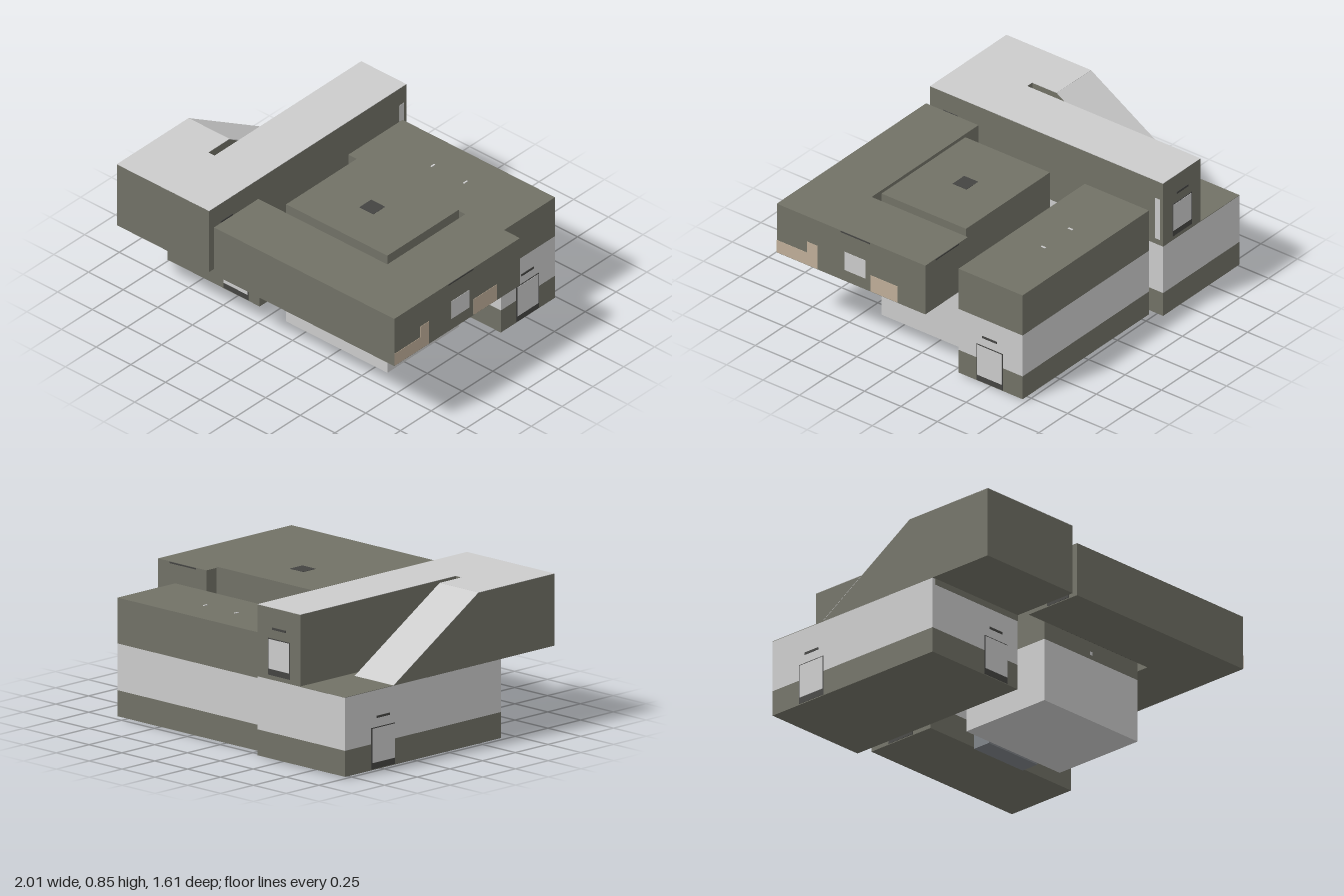
import * as THREE from 'three';

const mat = (color) => new THREE.MeshStandardMaterial({ color });
const grey = mat(0xcccccc), olive = mat(0x717166), pale = mat(0xe2e2e2);
const dark = mat(0x444442), tan = mat(0xbfae98), glass = mat(0x7d8186);

export function createModel() {
  const root = new THREE.Group();

  const add = (name, geo, m, parent = root) => {
    const mesh = new THREE.Mesh(geo, m);
    mesh.name = name;
    parent.add(mesh);
    return mesh;
  };
  // Box given by its limits on each axis
  const box = (name, m, x0, x1, y0, y1, z0, z1, parent) => {
    const b = add(name, new THREE.BoxGeometry(x1 - x0, y1 - y0, z1 - z0), m, parent);
    b.position.set((x0 + x1) / 2, (y0 + y1) / 2, (z0 + z1) / 2);
    return b;
  };
  // Thin plate on a wall at coordinate p along an axis, spanning u0..u1 sideways
  const plate = (name, m, axis, p, u0, u1, y0, y1, t = 0.002, parent = root) =>
    axis === 'x'
      ? box(name, m, p - t, p + t, y0, y1, u0, u1, parent)
      : box(name, m, u0, u1, y0, y1, p - t, p + t, parent);
  // Framed door or window with a slot vent above it
  const door = (name, axis, p, u, y0, y1, w = 0.17) => {
    const g = new THREE.Group();
    g.name = name;
    root.add(g);
    plate('frame', dark, axis, p, u - w / 2 - 0.005, u + w / 2 + 0.005, y0 - 0.035, y1 + 0.005, 0.003, g);
    plate('panel', grey, axis, p, u - w / 2, u + w / 2, y0, y1, 0.005, g);
    plate('vent', dark, axis, p, u - 0.05, u + 0.05, y1 + 0.055, y1 + 0.067, 0.004, g);
  };

  // Ground floors: dark base band, light wall band
  const ground = (name, x0, x1, z0, z1, top) => {
    const g = new THREE.Group();
    g.name = name;
    root.add(g);
    box('baseBand', olive, x0, x1, 0.01, 0.155, z0, z1, g);
    box('wallBand', grey, x0, x1, 0.155, top, z0, z1, g);
  };

  // West wing, lower storey
  ground('westGroundFloor', -1, -0.335, -0.8, 0.39, 0.45);
  box('westTerrace', olive, -1, -0.66, 0.449, 0.452, -0.8, 0.39);
  plate('westFrontLintel', olive, 'z', 0.39, -0.98, -0.335, 0.415, 0.45);
  door('westFrontDoor', 'z', 0.39, -0.505, 0.05, 0.24);
  door('westSideDoor', 'x', -1, -0.51, 0.05, 0.24);
  door('westInnerDoor', 'x', -0.335, -0.51, 0.05, 0.24);

  // West wing, upper storey: long bar, front block and wedge under the ramp
  box('westUpperBar', olive, -0.66, -0.335, 0.45, 0.85, -0.8, 0.8);
  box('westUpperLink', olive, -0.705, -0.66, 0.45, 0.85, 0.39, 0.8);
  const wedge = new THREE.Shape([[-0.43, 0.45], [0.8, 0.45], [0.8, 0.85], [0.22, 0.85]]
    .map(([z, y]) => new THREE.Vector2(-z, y)));
  const wedgeGeo = new THREE.ExtrudeGeometry(wedge, { depth: 0.295, bevelEnabled: false });
  wedgeGeo.rotateY(Math.PI / 2);
  add('westUpperWedge', wedgeGeo, olive).position.x = -1;
  const roofs = [[-0.66, -0.335, -0.8, 0.8], [-0.705, -0.66, 0.39, 0.8], [-1, -0.705, 0.22, 0.8]];
  for (const [x0, x1, z0, z1] of roofs) box('westRoof', grey, x0, x1, 0.849, 0.852, z0, z1);
  const ramp = add('ramp', new THREE.BoxGeometry(0.295, 0.004, Math.hypot(0.65, 0.4)), pale);
  ramp.position.set(-0.8525, 0.65, -0.105);
  ramp.rotation.x = -Math.atan2(0.4, 0.65);
  door('westBackWindow', 'z', -0.8, -0.5, 0.51, 0.675, 0.155);
  plate('westSlitWindow', grey, 'x', -0.335, -0.78, -0.745, 0.485, 0.74);
  door('westUpperDoor', 'x', -0.335, 0.66, 0.49, 0.67, 0.15);

  // Rear block
  ground('rearGroundFloor', -0.3, 0.8, -0.73, -0.29, 0.415);
  box('rearUpperWall', olive, -0.3, 0.8, 0.415, 0.67, -0.73, -0.29);
  door('rearEastDoor', 'x', 0.8, -0.505, 0.05, 0.24);
  door('rearWestDoor', 'x', -0.3, -0.51, 0.05, 0.24);
  for (const x of [0.11, 0.345]) box('roofLamp', pale, x - 0.005, x + 0.005, 0.668, 0.673, -0.53, -0.5);

  // Central hall
  box('hallWall', grey, -0.135, 0.595, 0.01, 0.375, -0.18, 0.4);
  box('hallUpper', olive, -0.135, 0.595, 0.375, 0.78, -0.18, 0.4);
  box('hallHatch', dark, 0.18, 0.28, 0.778, 0.782, 0.065, 0.16);
  plate('hallFrontLamp', pale, 'z', 0.4, 0.22, 0.24, 0.4, 0.42);
  plate('hallSideLamp', pale, 'x', 0.595, 0.105, 0.13, 0.4, 0.42);

  // Chamfered glazed passage between hall and rear block
  const passage = new THREE.Shape([[0.04, 0], [0.42, 0], [0.42, 0.285], [0.36, 0.355], [0.1, 0.355], [0.04, 0.285]]
    .map(([x, y]) => new THREE.Vector2(x, y)));
  add('passage', new THREE.ExtrudeGeometry(passage, { depth: 0.11, bevelEnabled: false }), glass)
    .position.z = -0.29;

  // L-shaped raised wing
  const ell = new THREE.Shape([[-0.3, -0.8], [1, -0.8], [1, 0.22], [0.63, 0.22], [0.63, -0.44], [-0.3, -0.44]]
    .map(([x, y]) => new THREE.Vector2(x, y)));
  const ellGeo = new THREE.ExtrudeGeometry(ell, { depth: 0.31, bevelEnabled: false });
  ellGeo.rotateX(-Math.PI / 2);
  add('raisedWing', ellGeo, olive).position.y = 0.45;
  plate('eastWindow', grey, 'x', 1, 0.19, 0.335, 0.52, 0.635);
  for (const [z0, z1, y1] of [[0.59, 0.8, 0.53], [0.52, 0.59, 0.6], [-0.03, 0.155, 0.555]])
    plate('eastTanPanel', tan, 'x', 1, z0, z1, 0.453, y1);
  plate('eastSlot', dark, 'x', 1, 0.16, 0.36, 0.75, 0.758);
  plate('backSlot', dark, 'z', -0.22, 0.71, 0.91, 0.75, 0.758);
  door('raisedWestDoor', 'x', -0.3, 0.66, 0.49, 0.67, 0.15);

  // Thin joint plates in the gaps between hall and raised wing
  for (const d of [0.012, 0.024]) {
    plate('frontJoint', dark, 'z', 0.4 + d, -0.01, 0.54, 0.47, 0.72);
    plate('eastJoint', dark, 'x', 0.595 + d, -0.12, 0.35, 0.47, 0.72);
  }

  return root;
}
